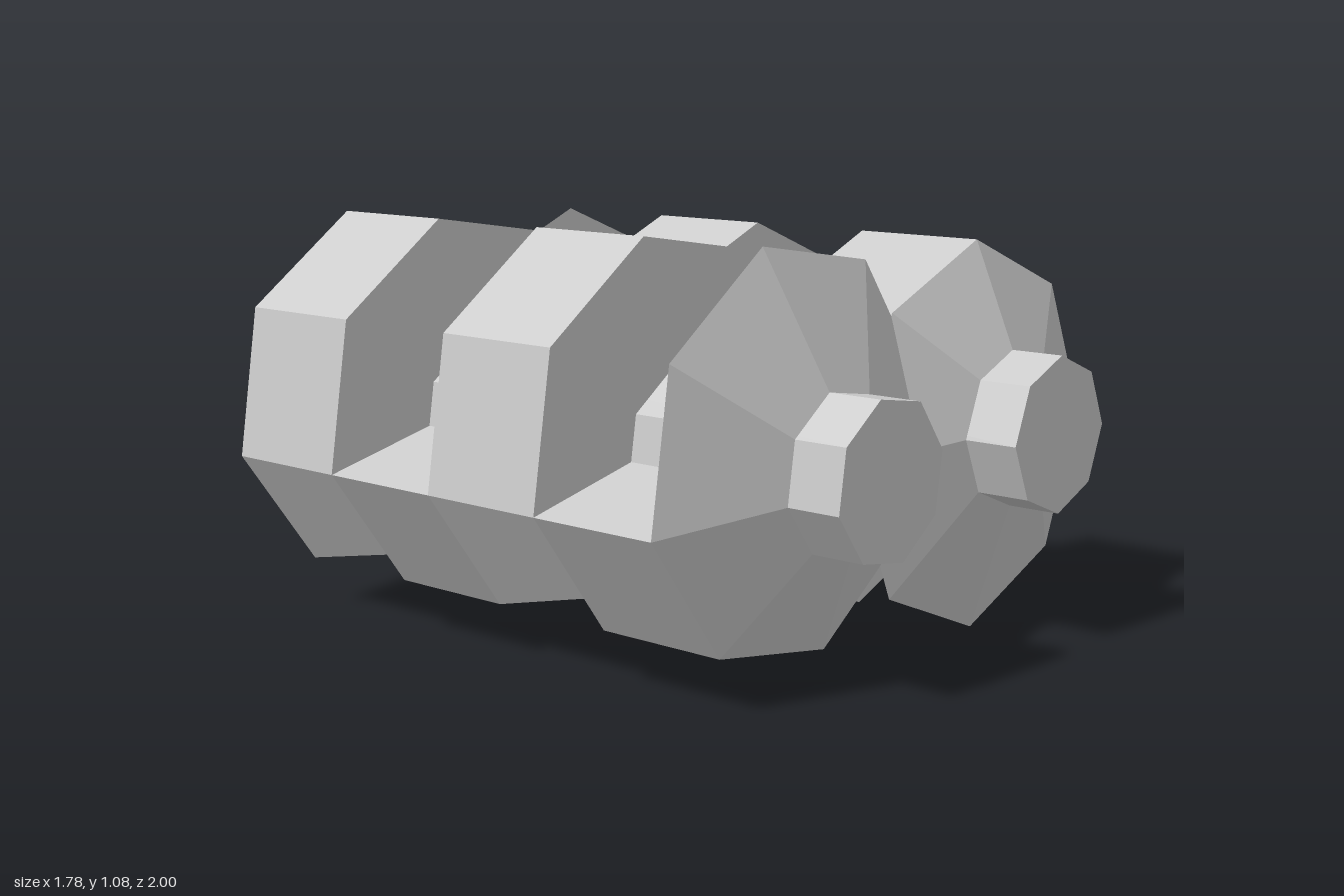
import * as THREE from 'three';

const material = new THREE.MeshStandardMaterial({ color: 0xcccccc, flatShading: true });

// Corners of an octagon in the xy plane, or of part of it (count corners from corner start)
function octagon(cx, cy, radius, phase, start = 0, count = 8) {
  return Array.from({ length: count }, (_, i) => {
    const a = phase + ((start + i) * Math.PI) / 4;
    return [cx + radius * Math.cos(a), cy + radius * Math.sin(a)];
  });
}

// Closed solid between a back outline at z0 and a front outline at z1 (both counter-clockwise)
function solid(name, back, z0, front, z1) {
  const n = back.length;
  const positions = [...back.map((p) => [...p, z0]), ...front.map((p) => [...p, z1])].flat();
  const index = [];
  for (let i = 0; i < n; i++) {
    const j = (i + 1) % n;
    index.push(i, j, n + j, i, n + j, n + i);
    if (i > 0 && i < n - 1) index.push(0, i + 1, i, n, n + i, n + i + 1);
  }
  const indexed = new THREE.BufferGeometry();
  indexed.setAttribute('position', new THREE.Float32BufferAttribute(positions, 3));
  indexed.setIndex(index);
  const geometry = indexed.toNonIndexed();
  geometry.computeVertexNormals();
  const mesh = new THREE.Mesh(geometry, material);
  mesh.name = name;
  return mesh;
}

// Roller: shaft, two tapered ends, and four half discs alternating above and below
function roller(name, { disc, shaft, phase, upperFirst }) {
  const group = new THREE.Group();
  group.name = name;
  const small = octagon(shaft[0], shaft[1], 0.205, phase);
  const big = octagon(disc[0], disc[1], 0.519, phase);
  group.add(
    solid('shaft', small, -1, small, 1),
    solid('frontTaper', big, 0.73, small, 0.853),
    solid('backTaper', small, -0.855, big, -0.742)
  );
  const cuts = [0.73, 0.36, -0.005, -0.37, -0.742];
  for (let i = 0; i < 4; i++) {
    const upper = (i % 2 === 0) === upperFirst;
    const half = octagon(disc[0], disc[1], 0.519, phase, upper ? 0 : 4, 5);
    group.add(solid(upper ? 'upperHalfDisc' : 'lowerHalfDisc', half, cuts[i + 1], half, cuts[i]));
  }
  return group;
}

export function createModel() {
  const model = new THREE.Group();
  model.name = 'interlockingRollers';
  model.add(
    roller('leftRoller', { disc: [0.366, 0.522], shaft: [0.355, 0.56], phase: 0.012, upperFirst: true }),
    roller('rightRoller', { disc: [-0.388, 0.583], shaft: [-0.365, 0.551], phase: 0.24, upperFirst: false })
  );
  return model;
}
